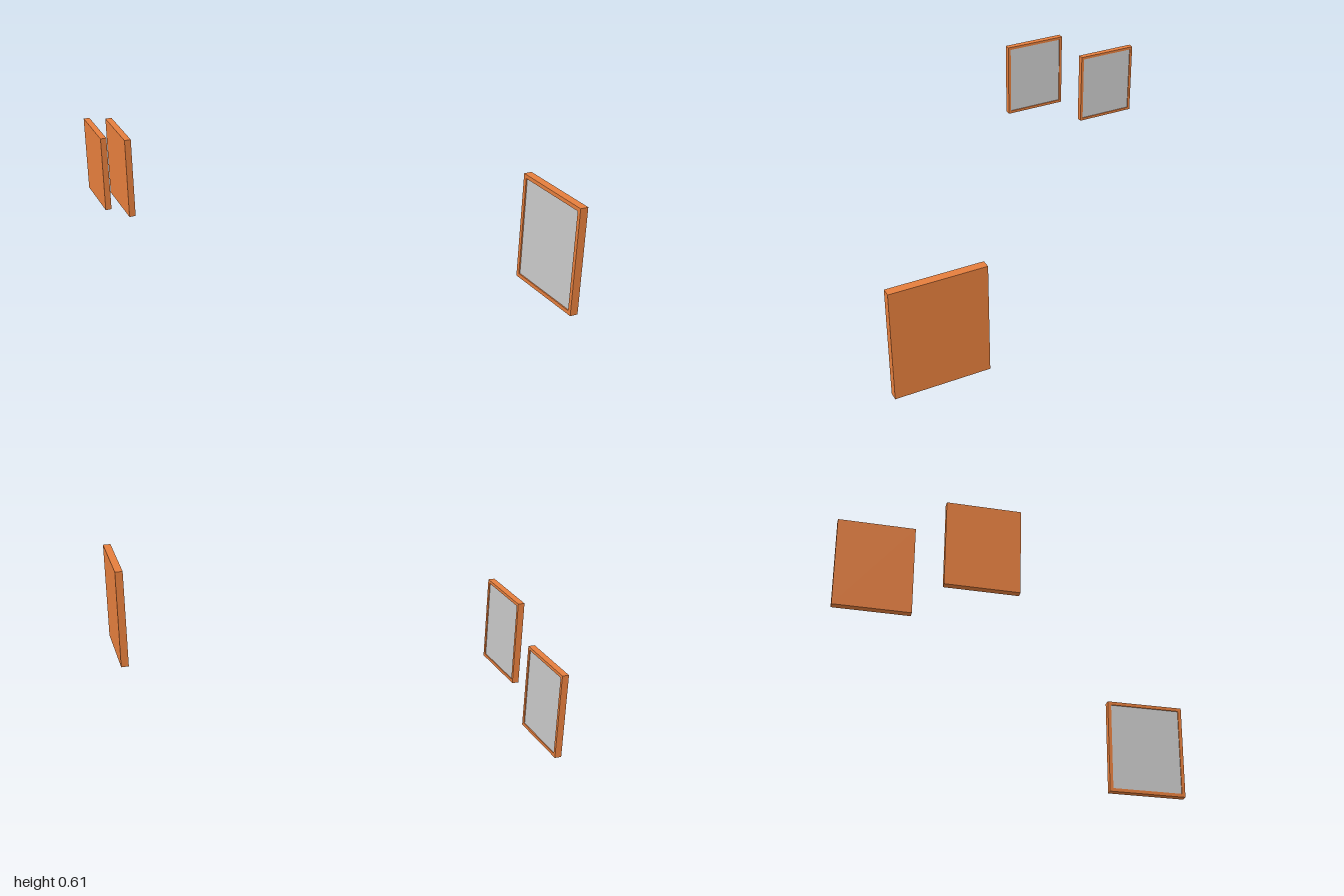
import * as THREE from 'three';

const wood = new THREE.MeshStandardMaterial({ color: 0xe57e3d });
const grey = new THREE.MeshStandardMaterial({ color: 0xcccccc });

// Wall frame with its picture facing +z, centred on the origin
function pictureFrame(name, width, height, depth, border, recess) {
  const frame = new THREE.Group();
  frame.name = name;
  const w = width / 2, h = height / 2, iw = w - border, ih = h - border;
  const back = depth * 0.4;

  // Moulding: a rectangle with the picture opening cut out
  const outline = new THREE.Shape([[-w, -h], [w, -h], [w, h], [-w, h]].map(p => new THREE.Vector2(...p)));
  outline.holes.push(new THREE.Path([[-iw, -ih], [-iw, ih], [iw, ih], [iw, -ih]].map(p => new THREE.Vector2(...p))));
  const moulding = new THREE.Mesh(
    new THREE.ExtrudeGeometry(outline, { depth: depth - back, bevelEnabled: false }), wood);
  moulding.name = 'moulding';
  moulding.position.z = back - depth / 2;

  // Solid board closing the rear
  const board = new THREE.Mesh(new THREE.BoxGeometry(width, height, back), wood);
  board.name = 'backBoard';
  board.position.z = (back - depth) / 2;

  // Picture set slightly behind the front edge
  const picture = new THREE.Mesh(new THREE.PlaneGeometry(iw * 2, ih * 2), grey);
  picture.name = 'picture';
  picture.position.z = depth / 2 - recess;

  frame.add(moulding, board, picture);
  return frame;
}

export function createModel() {
  const model = new THREE.Group();
  model.name = 'pictureFrames';

  // Large frame on the left, facing inwards
  const large = pictureFrame('largeFrame', 0.413, 0.505, 0.038, 0.018, 0.006);
  large.rotation.y = -Math.PI / 2;
  large.position.set(0.777, 0.2525, 0.7935);
  model.add(large);

  // Two staggered small frames on the right, facing inwards
  [['smallFrameUpper', 0.423, -0.417], ['smallFrameLower', 0.279, -0.846]].forEach(([name, y, z]) => {
    const small = pictureFrame(name, 0.308, 0.375, 0.029, 0.0135, 0.0045);
    small.rotation.y = Math.PI / 2;
    small.position.set(-0.7815, y, z);
    model.add(small);
  });
  return model;
}
